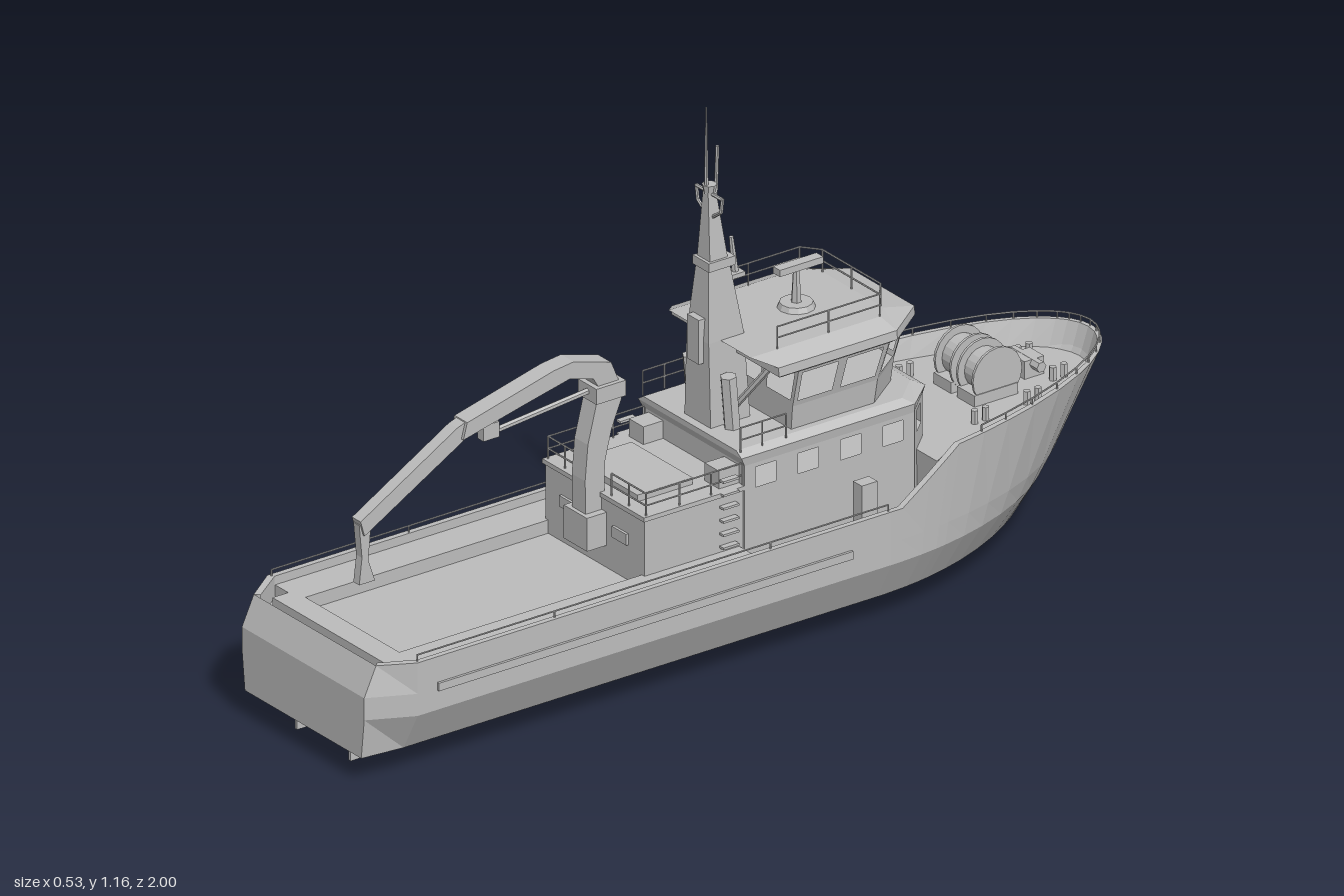
import * as THREE from 'three';

const grey = new THREE.MeshStandardMaterial({ color: 0xbcbcbc, flatShading: true, side: THREE.DoubleSide });
grey.name = 'ship grey';

export function createModel() {
  const ship = new THREE.Group();
  ship.name = 'workShip';

  const add = (name, geo, x = 0, y = 0, z = 0) => {
    const m = new THREE.Mesh(geo, grey);
    m.name = name;
    m.position.set(x, y, z);
    ship.add(m);
    return m;
  };
  const box = (name, x0, x1, y0, y1, z0, z1) =>
    add(name, new THREE.BoxGeometry(x1 - x0, y1 - y0, z1 - z0), (x0 + x1) / 2, (y0 + y1) / 2, (z0 + z1) / 2);
  const both = fn => [1, -1].forEach(fn);

  // Skin through equal-length rows of points; optionally closed round and capped
  const loft = (name, rows, closed = false, caps = false) => {
    const n = rows[0].length, idx = [];
    for (let r = 0; r < rows.length - 1; r++)
      for (let i = 0; i < (closed ? n : n - 1); i++) {
        const a = r * n + i, b = r * n + (i + 1) % n;
        idx.push(a, b, b + n, a, b + n, a + n);
      }
    if (caps) for (let i = 1; i < n - 1; i++) {
      const t = (rows.length - 1) * n;
      idx.push(0, i + 1, i, t, t + i, t + i + 1);
    }
    const g = new THREE.BufferGeometry();
    g.setAttribute('position', new THREE.Float32BufferAttribute(rows.flat(2), 3));
    g.setIndex(idx);
    const flat = g.toNonIndexed();
    flat.computeVertexNormals();
    return add(name, flat);
  };
  // Ring of points at height y from the +x half of an outline
  const ring = (y, half) => [...half.map(([x, z]) => [x, y, z]), ...half.slice().reverse().map(([x, z]) => [-x, y, z])];
  const rect = (y, w, z0, z1) => ring(y, [[w, z1], [w, z0]]);

  // Side profile of [z, y] points extruded across x
  const profile = (name, pts, width, x = 0) => {
    const g = new THREE.ExtrudeGeometry(new THREE.Shape(pts.map(p => new THREE.Vector2(...p))), { depth: width, bevelEnabled: false });
    g.rotateY(-Math.PI / 2);
    return add(name, g, x + width / 2);
  };
  const rod = (name, a, b, r = 0.003, r2 = r) => {
    const A = new THREE.Vector3(...a), B = new THREE.Vector3(...b), d = B.clone().sub(A);
    const m = add(name, new THREE.CylinderGeometry(r2, r, d.length(), 6));
    m.position.copy(A).add(B).multiplyScalar(0.5);
    m.quaternion.setFromUnitVectors(new THREE.Vector3(0, 1, 0), d.normalize());
  };
  // Railing with posts along a floor path
  const railing = (name, path, h, levels = 2, r = 0.002) => path.forEach((p, i) => {
    rod(name + 'Post', p, [p[0], p[1] + h, p[2]], r);
    const q = path[i + 1];
    if (q) for (let k = 1; k <= levels; k++)
      rod(name, [p[0], p[1] + h * k / levels, p[2]], [q[0], q[1] + h * k / levels, q[2]], r);
  });
  // Wall panel a-b-c-d with an open window, m = margins along and up
  const windowPanel = (name, [a, b, c, d], mu, mv) => {
    const at = (u, v) => a.map((_, k) => (a[k] * (1 - u) + b[k] * u) * (1 - v) + (d[k] * (1 - u) + c[k] * u) * v);
    const corners = (u, v) => [at(u, v), at(1 - u, v), at(1 - u, 1 - v), at(u, 1 - v)];
    loft(name, [corners(0, 0), corners(mu, mv)], true);
  };

  // Hull stations: keel, bottom edge, bilge, chine, belt, sheer
  const levels = [[0, 0.025, 1], [0.14, 0.025, 1], [0.21, 0.06, 0.85], [0.258, 0.15, 0.7], [0.258, 0.2, 0.62], [0.258, 0, 0.5]];
  const sheer = z => z > -0.33 ? 0.27 : z > -0.48 ? 0.27 + (-0.33 - z) / 0.15 * 0.1 : 0.37 + (-0.48 - z) / 0.52 * 0.025;
  const station = d => {
    const u = Math.max(0, (-0.3 - d) / 0.7);
    return levels.map(([x, y, p], i) => {
      const top = i === 5;
      const stem = top ? -1 : -0.8 - 0.2 * (y - 0.025) / 0.37;
      const lift = i < 2 ? Math.max(0, (d - 0.55) / 0.45) * 0.035 : 0;
      return [x * Math.pow(Math.max(0, 1 - u * u), p), top ? sheer(d) : y + lift, u > 0 ? -0.3 + u * (stem + 0.3) : d];
    });
  };
  const stern = [[0, 0.06, 1], [0.13, 0.06, 1], [0.2, 0.06, 1], [0.21, 0.15, 1], [0.21, 0.2, 1], [0.21, 0.265, 0.97]];
  const bowZ = [-0.33, -0.4, -0.449, -0.451, -0.48, -0.55, -0.62, -0.7, -0.78, -0.85, -0.9, -0.94, -0.97, -0.985, -0.996, -1];
  const halves = [stern, ...[0.9, 0.55, 0, -0.3, ...bowZ].map(station)];
  const flip = ([x, y, z]) => [-x, y, z];
  loft('hull', halves.map(h => [...h.slice().reverse(), ...h.slice(1).map(flip)]));
  loft('transom', [stern, stern.map(flip)]);

  // Rail cap, inner bulwark and stepped deck
  loft('deck', halves.map(h => {
    const [x, y, z] = h[5], fore = z < -0.45;
    const half = [[x, y, z], [x * 0.95, y, z * 0.99], [x * (fore ? 0.91 : 0.95), fore ? 0.335 : 0.22, z * (fore ? 0.97 : 0.99)]];
    return [...half, ...half.slice().reverse().map(flip)];
  }));
  both(s => {
    box('sideDeck', s * 0.203 - 0.042, s * 0.203 + 0.042, 0.22, 0.25, 0.02, 0.89);
    box('rubbingStrake', s * 0.26 - 0.004, s * 0.26 + 0.004, 0.194, 0.212, -0.2, 0.85);
    box('rudder', s * 0.092 - 0.004, s * 0.092 + 0.004, 0, 0.07, 0.905, 0.95);
    profile('skeg', [[0.64, 0], [0.83, 0], [0.83, 0.055], [0.64, 0.04]], 0.008, s * 0.092);
    const rail = halves.slice(1).map(h => [h[5][0] * 0.97, h[5][1], h[5][2] * 0.995].map((v, k) => k ? v : v * s));
    railing('bulwarkRail', rail.slice(0, 4), 0.014, 1);
    railing('bowRail', rail.slice(9), 0.014, 1);
  });
  box('aftSill', -0.2, 0.2, 0.22, 0.25, 0.875, 0.93);

  // Aft deckhouse with hatch and railing
  box('aftHouse', -0.17, 0.17, 0.2, 0.38, 0, 0.26);
  box('aftHouseHatch', -0.105, 0.105, 0.38, 0.4, 0.09, 0.23);
  box('aftLedge', -0.175, 0.175, 0.375, 0.385, 0, 0.265);
  both(s => {
    railing('aftHouseRail', [0.01, 0.09, 0.17, 0.255].map(z => [s * 0.168, 0.38, z]), 0.055);
    railing('aftHouseEndRail', [0.168, 0.11, 0.05].map(x => [s * x, 0.38, 0.255]), 0.055);
    box('aftDoor', s * 0.09 - 0.025, s * 0.09 + 0.025, 0.3, 0.325, 0.26, 0.266);
    box('locker', s * 0.13 - 0.025, s * 0.13 + 0.025, 0.38, 0.425, 0.01, 0.06);
    for (let i = 0; i < 6; i++) box('ladderRung', s * 0.177 - 0.007, s * 0.177 + 0.007, 0.26 + i * 0.03, 0.265 + i * 0.03, 0.03, 0.07);
  });

  // Forward deckhouse: solid lower walls, windowed belt, roof
  const house = [[0.175, 0.01], [0.175, -0.42], [0.115, -0.485]];
  loft('houseLower', [ring(0.2, house), ring(0.365, house)], true, true);
  const beltLow = ring(0.365, house), beltTop = ring(0.43, house);
  const panel = (name, a, b, i, j, n, mu, mv) => {
    const mix = (p, q, t) => p.map((v, k) => v + (q[k] - v) * t);
    for (let k = 0; k < n; k++) windowPanel(name,
      [mix(a[i], a[j], k / n), mix(a[i], a[j], (k + 1) / n), mix(b[i], b[j], (k + 1) / n), mix(b[i], b[j], k / n)], mu, mv);
  };
  [[0, 1, 4], [1, 2, 1], [2, 3, 2], [3, 4, 1], [4, 5, 4]].forEach(([i, j, n]) => panel('houseWindowWall', beltLow, beltTop, i, j, n, 0.26, 0.15));
  box('houseBackWall', -0.175, 0.175, 0.365, 0.45, 0.004, 0.01);
  loft('houseRoof', [ring(0.43, house), ring(0.45, [[0.178, 0.02], [0.178, -0.42], [0.118, -0.49]]),
    ring(0.462, [[0.16, 0.02], [0.16, -0.4], [0.1, -0.465]])], true, true);
  both(s => railing('bridgeDeckRail', [0.015, -0.04, -0.1].map(z => [s * 0.168, 0.46, z]), 0.055));

  // Wheelhouse with outward leaning windows
  const low = [[0.145, -0.13], [0.145, -0.34], [0.08, -0.43]];
  const mid = [[0.15, -0.13], [0.15, -0.345], [0.085, -0.435]];
  const high = [[0.172, -0.13], [0.172, -0.36], [0.1, -0.455]];
  loft('wheelhouseBase', [ring(0.46, low), ring(0.515, mid)], true, true);
  const sill = ring(0.515, mid), head = ring(0.608, high);
  [[0, 1, 2], [1, 2, 1], [2, 3, 2], [3, 4, 1], [4, 5, 2], [5, 0, 3]].forEach(([i, j, n]) => panel('wheelhouseWindow', sill, head, i, j, n, 0.1, 0.13));
  loft('wheelhouseRoof', [ring(0.605, [[0.175, -0.08], [0.175, -0.36], [0.1, -0.455]]),
    ring(0.612, [[0.185, -0.07], [0.185, -0.37], [0.11, -0.47]]),
    ring(0.632, [[0.183, -0.07], [0.183, -0.37], [0.11, -0.468]]),
    ring(0.65, [[0.14, -0.03], [0.14, -0.36], [0.11, -0.39]])], true, true);
  railing('roofRail', [[0.138, 0.65, -0.1], [0.138, 0.65, -0.23], [0.138, 0.65, -0.36], [0.1, 0.65, -0.39], [0, 0.65, -0.39],
    [-0.1, 0.65, -0.39], [-0.138, 0.65, -0.36], [-0.138, 0.65, -0.23], [-0.138, 0.65, -0.1]], 0.05);

  // Radar and small roof fittings
  rod('radarPost', [0, 0.65, -0.25], [0, 0.735, -0.25], 0.012, 0.007);
  box('radarScanner', -0.012, 0.012, 0.735, 0.75, -0.31, -0.2);
  add('radarFoot', new THREE.CylinderGeometry(0.035, 0.04, 0.012, 12), 0, 0.656, -0.25);

  // Mast, exhausts and aerials
  loft('mast', [rect(0.46, 0.045, -0.1, 0), rect(0.65, 0.038, -0.09, 0), rect(0.81, 0.022, -0.065, -0.012)], true, true);
  box('mastCollar', -0.028, 0.028, 0.805, 0.825, -0.075, -0.008);
  loft('topMast', [rect(0.825, 0.022, -0.06, -0.015), rect(0.975, 0.009, -0.04, -0.02)], true, true);
  box('mastBox', -0.02, 0.02, 0.6, 0.7, -0.005, 0.012);
  box('radarBracket', -0.015, 0.015, 0.765, 0.775, -0.11, -0.05);
  rod('forwardLamp', [0, 0.775, -0.095], [0, 0.855, -0.085], 0.008, 0.005);
  rod('poleAerial', [0, 0.97, -0.022], [0, 1.165, -0.022], 0.005, 0.0015);
  rod('shortAerial', [0, 0.93, -0.045], [0, 1.07, -0.05], 0.004);
  add('mastHead', new THREE.CylinderGeometry(0.016, 0.012, 0.02, 8), 0, 0.98, -0.03);
  both(s => {
    rod('crossTreeTop', [0, 0.97, -0.03], [s * 0.045, 0.97, -0.03], 0.004);
    rod('crossTreeEnd', [s * 0.045, 0.972, -0.03], [s * 0.04, 0.94, -0.03], 0.004);
    rod('crossTreeBrace', [s * 0.04, 0.94, -0.03], [s * 0.012, 0.92, -0.03], 0.004);
    rod('exhaust', [s * 0.065, 0.46, -0.04], [s * 0.065, 0.58, -0.03], 0.018);
    rod('roofBrace', [s * 0.05, 0.5, -0.06], [s * 0.13, 0.61, -0.09], 0.007);
  });

  // Knuckle boom crane
  box('craneBase', -0.04, 0.04, 0.27, 0.345, 0.25, 0.31);
  profile('craneColumn', [[0.3, 0.3], [0.255, 0.3], [0.252, 0.45], [0.235, 0.52], [0.21, 0.58], [0.21, 0.62], [0.265, 0.62], [0.28, 0.56], [0.295, 0.5], [0.302, 0.42]], 0.046);
  box('craneKnuckle', -0.032, 0.032, 0.59, 0.625, 0.205, 0.28);
  profile('craneInnerBoom', [[0.21, 0.61], [0.235, 0.67], [0.33, 0.698], [0.38, 0.692], [0.46, 0.672], [0.6, 0.637], [0.61, 0.6], [0.46, 0.635], [0.34, 0.662], [0.28, 0.645], [0.26, 0.61]], 0.044);
  profile('craneOuterBoom', [[0.58, 0.642], [0.62, 0.628], [0.865, 0.485], [0.855, 0.45], [0.6, 0.597]], 0.03);
  rod('craneRam', [0, 0.61, 0.27], [0, 0.585, 0.53], 0.007);
  box('craneRamLug', -0.01, 0.01, 0.575, 0.61, 0.51, 0.55);
  profile('craneTip', [[0.865, 0.475], [0.835, 0.47], [0.842, 0.39], [0.825, 0.34], [0.865, 0.34], [0.858, 0.4]], 0.02);

  // Foredeck winch, bollards and windlass
  both(s => {
    const spin = (name, r, w, x) => { add(name, new THREE.CylinderGeometry(r, r, w, 20), s * x, 0.39, -0.71).rotation.z = Math.PI / 2; };
    spin('winchDrum', 0.045, 0.05, 0.038);
    spin('winchFlange', 0.062, 0.006, 0.012);
    spin('winchFlange', 0.062, 0.006, 0.065);
    box('winchFoot', s * 0.04 - 0.03, s * 0.04 + 0.03, 0.33, 0.36, -0.76, -0.65);
    [[0.13, -0.62], [0.12, -0.76], [0.06, -0.87]].forEach(([x, z]) => both(k =>
      rod('bollard', [s * x, 0.335, z + k * 0.014], [s * x, 0.365, z + k * 0.014], 0.008)));
    box('deckLocker', s * 0.21 - 0.015, s * 0.21 + 0.015, 0.22, 0.33, -0.29, -0.25);
  });
  box('windlass', -0.025, 0.025, 0.335, 0.375, -0.86, -0.81);
  rod('windlassShaft', [-0.05, 0.365, -0.835], [0.05, 0.365, -0.835], 0.012);

  return ship;
}
